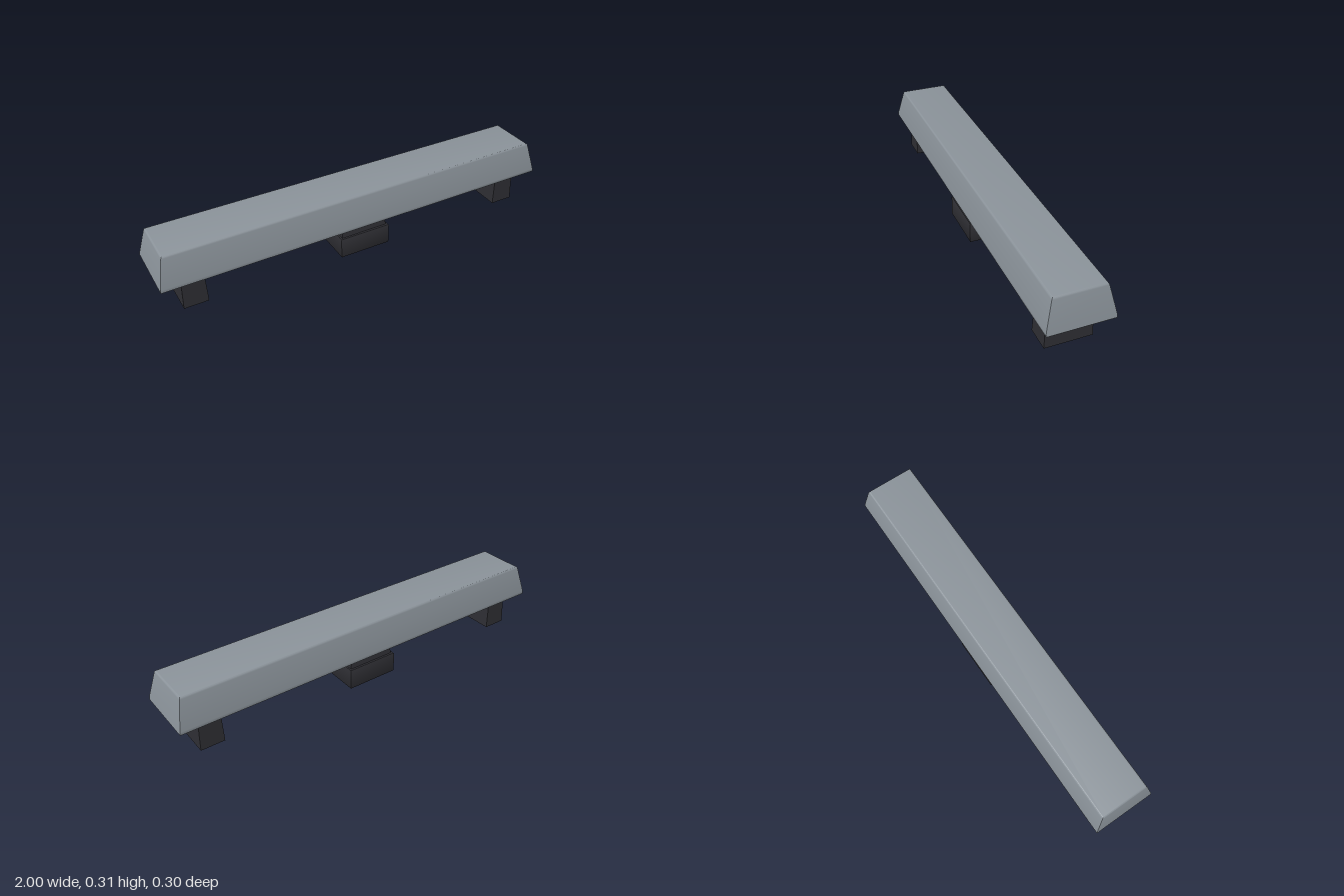
import * as THREE from 'three';
import { toCreasedNormals } from 'three/addons/utils/BufferGeometryUtils.js';

const CORNERS = [[1, 1], [1, -1], [-1, -1], [-1, 1]];

// Closed solid through rectangular sections [y, half width, half depth], bottom to top
function loft(sections) {
  const positions = [];
  const index = [];
  for (const [y, hx, hz] of sections) {
    for (const [sx, sz] of CORNERS) positions.push(sx * hx, y, sz * hz);
  }
  for (let s = 0; s < sections.length - 1; s++) {
    for (let i = 0; i < 4; i++) {
      const a = s * 4 + i;
      const b = s * 4 + (i + 1) % 4;
      index.push(a, b, b + 4, a, b + 4, a + 4);
    }
  }
  const t = (sections.length - 1) * 4;
  index.push(2, 1, 0, 3, 2, 0, t, t + 1, t + 2, t, t + 2, t + 3);
  const geometry = new THREE.BufferGeometry();
  geometry.setAttribute('position', new THREE.Float32BufferAttribute(positions, 3));
  geometry.setIndex(index);
  return toCreasedNormals(geometry, 0.6);
}

export function createModel() {
  const model = new THREE.Group();
  model.name = 'longKeycap';
  const capMaterial = new THREE.MeshStandardMaterial({ color: 0x8a9299 });
  const stemMaterial = new THREE.MeshStandardMaterial({ color: 0x2e2e33 });

  const add = (name, sections, material, x = 0) => {
    const mesh = new THREE.Mesh(loft(sections), material);
    mesh.name = name;
    mesh.position.x = x;
    model.add(mesh);
  };

  // Tapered cap with softened rims
  add('cap', [
    [0.155, 0.998, 0.150],
    [0.158, 1.000, 0.152],
    [0.172, 0.998, 0.152],
    [0.178, 0.997, 0.151],
    [0.304, 0.969, 0.122],
    [0.310, 0.967, 0.120],
    [0.313, 0.964, 0.117],
    [0.314, 0.960, 0.113],
  ], capMaterial);

  // Central switch: housing and tapered collar
  add('switchHousing', [
    [0, 0.128, 0.129],
    [0.003, 0.130, 0.131],
    [0.100, 0.130, 0.131],
    [0.103, 0.128, 0.129],
  ], stemMaterial);
  add('switchCollar', [
    [0.102, 0.120, 0.119],
    [0.157, 0.111, 0.111],
  ], stemMaterial);

  // Stabilizer feet under both ends
  for (const side of [1, -1]) {
    add(side > 0 ? 'leftStabilizer' : 'rightStabilizer', [
      [0, 0.058, 0.110],
      [0.157, 0.053, 0.105],
    ], stemMaterial, side * 0.847);
  }

  return model;
}
